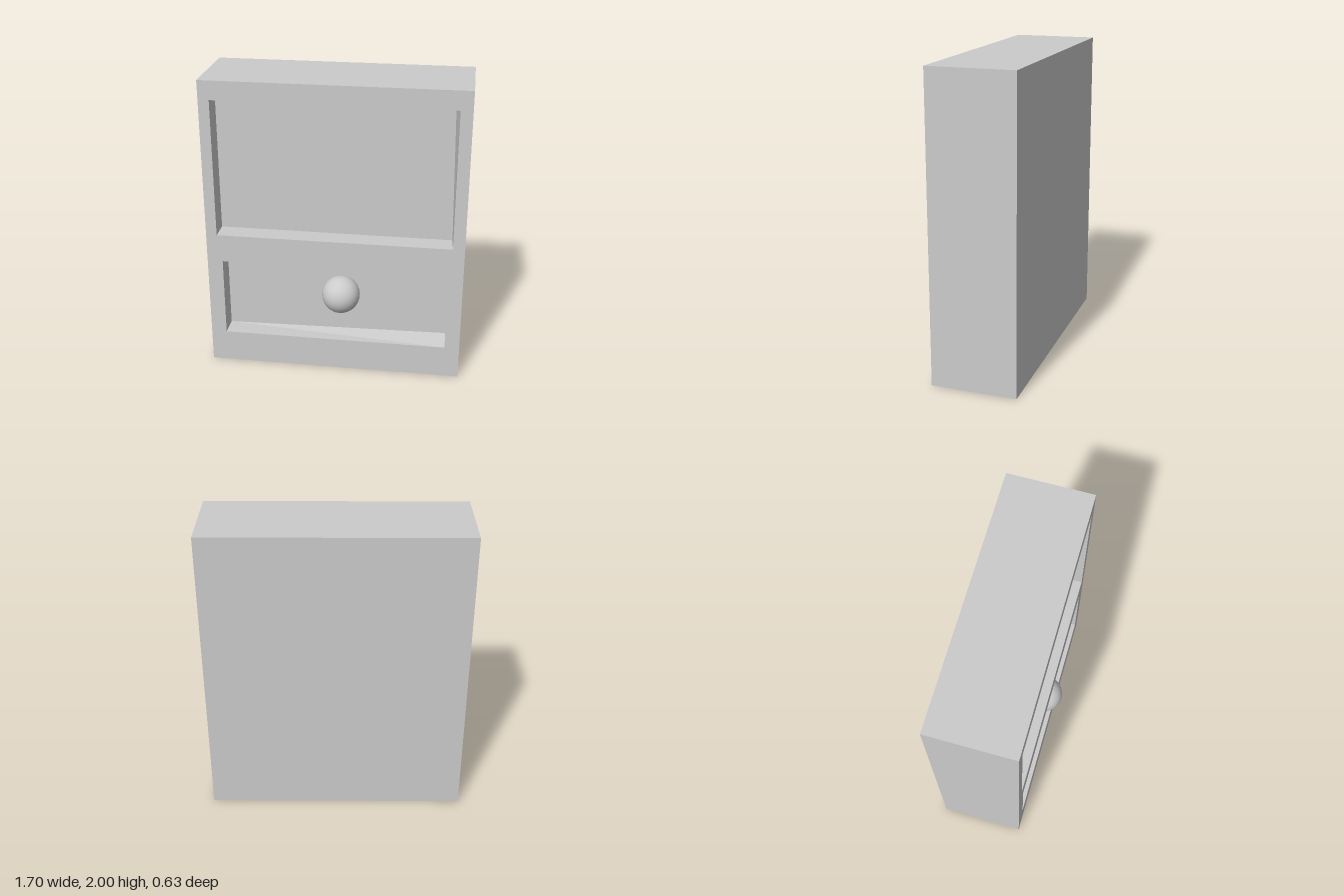
import * as THREE from 'three';

const W = 0.85, H = 2, BACK = -0.313, FRONT = 0.247, DEPTH = 0.14;

// Rectangular outline from two opposite corners
function rect(Type, x0, y0, x1, y1) {
  const p = new Type();
  p.moveTo(x0, y0);
  p.lineTo(x1, y0);
  p.lineTo(x1, y1);
  p.lineTo(x0, y1);
  p.closePath();
  return p;
}

export function createModel() {
  const group = new THREE.Group();
  const material = new THREE.MeshStandardMaterial({ color: 0xcccccc });
  const add = (name, geometry, x, y, z) => {
    const mesh = new THREE.Mesh(geometry, material);
    mesh.name = name;
    mesh.position.set(x, y, z);
    group.add(mesh);
  };

  // Solid body behind the recesses
  const bodyDepth = FRONT - DEPTH - BACK;
  add('body', new THREE.BoxGeometry(2 * W, H, bodyDepth), 0, H / 2, BACK + bodyDepth / 2);

  // Front frame with a tall upper and a low lower recess
  const outline = rect(THREE.Shape, -W, 0, W, H);
  outline.holes.push(
    rect(THREE.Path, -0.778, 0.952, 0.772, 1.875),
    rect(THREE.Path, -0.747, 0.22, 0.752, 0.762)
  );
  const frame = new THREE.ExtrudeGeometry(outline, { depth: DEPTH, bevelEnabled: false });

  // Slight taper of the recess walls at their inner corners
  const p = frame.attributes.position;
  const near = (i, x, y) => Math.hypot(p.getX(i) - x, p.getY(i) - y) < 0.002;
  for (let i = 0; i < p.count; i++) {
    if (p.getZ(i) > 0.001) continue;
    if (near(i, 0.772, 1.875)) p.setX(i, 0.745);
    else if (near(i, 0.772, 0.952)) p.setX(i, 0.765);
    else if (near(i, 0.752, 0.22)) p.setY(i, 0.25);
  }
  frame.computeVertexNormals();
  add('frontFrame', frame, 0, 0, FRONT - DEPTH);

  // Round knob in the lower recess
  add('knob', new THREE.SphereGeometry(0.127, 32, 16), 0.042, 0.541, 0.186);

  return group;
}
